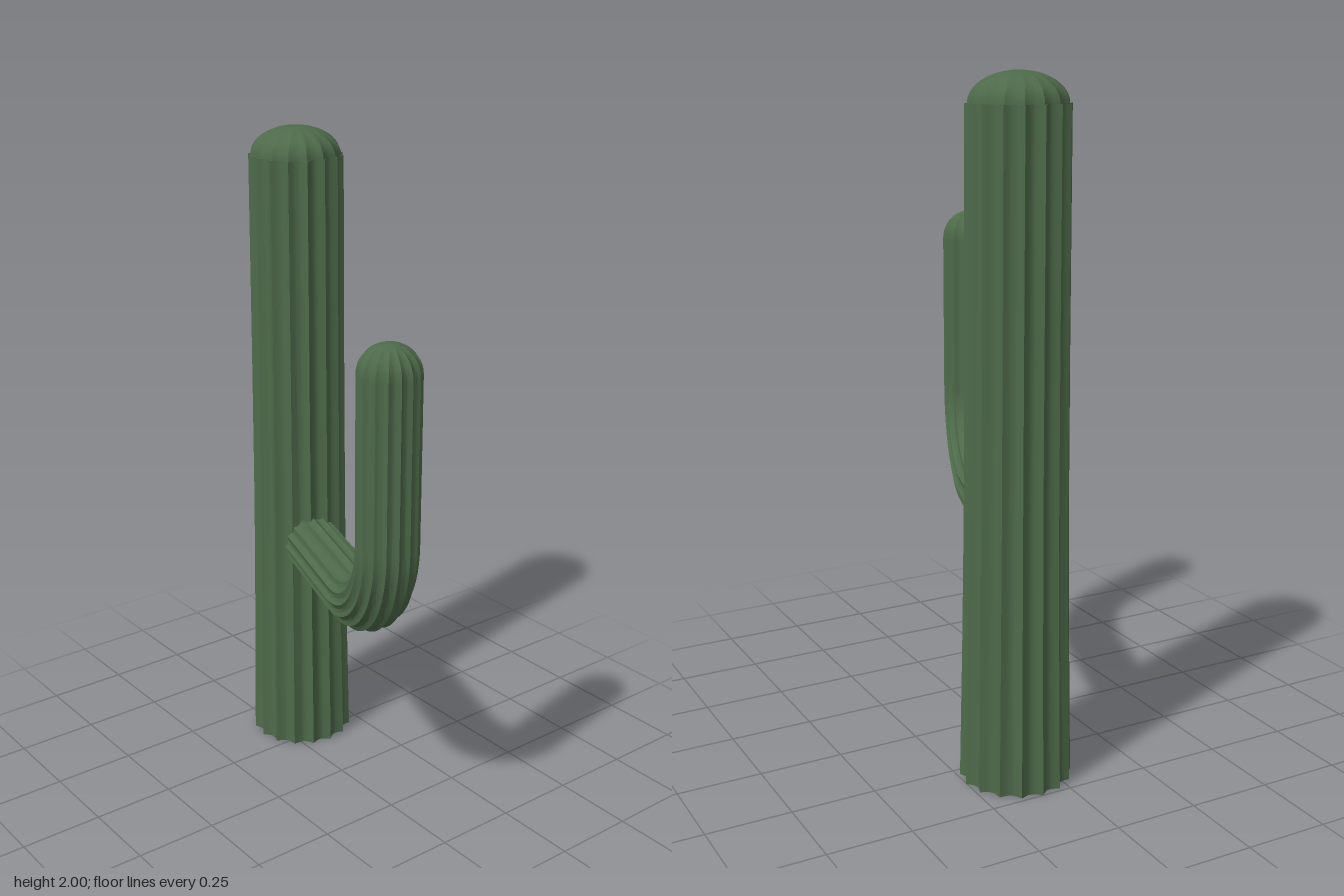
import * as THREE from 'three';
import { toCreasedNormals } from 'three/addons/utils/BufferGeometryUtils.js';

const RIBS = 16, STEPS = 6, N = RIBS * STEPS;
const V = (x, y, z) => new THREE.Vector3(x, y, z);

// Skin of scalloped rings; each ring is { c: centre, u, v: ring axes, r: ridge radius, d: groove depth ratio }
function ribbedSkin(rings) {
  const pos = [], idx = [];
  for (const { c, u, v, r, d } of rings) {
    for (let i = 0; i < N; i++) {
      const a = (i / N) * Math.PI * 2;
      const rr = r * (1 - d * Math.abs(Math.sin((a * RIBS) / 2)));
      const p = c.clone().addScaledVector(u, rr * Math.cos(a)).addScaledVector(v, rr * Math.sin(a));
      pos.push(p.x, p.y, p.z);
    }
  }
  for (let j = 0; j < rings.length - 1; j++) {
    for (let i = 0; i < N; i++) {
      const k = (i + 1) % N, a = j * N + i, b = j * N + k, c = a + N, e = b + N;
      idx.push(a, b, c, b, e, c);
    }
  }
  const g = new THREE.BufferGeometry();
  g.setAttribute('position', new THREE.Float32BufferAttribute(pos, 3));
  g.setIndex(idx);
  return toCreasedNormals(g, 0.7);
}

// Level ring; u x v points up
const level = (x, y, z, r, d, u = V(1, 0, 0)) => ({ c: V(x, y, z), u, v: V(0, 1, 0).cross(u).normalize(), r, d });

// Rounded cap whose ribs fade towards the tip
function domeRings(x, y, z, r, h, d, u) {
  const rings = [];
  for (let i = 0; i <= 10; i++) {
    const t = (i / 10) * Math.PI / 2;
    rings.push(level(x, y + h * Math.sin(t), z, Math.max(r * Math.cos(t), 0.0005), d, u));
  }
  return rings;
}

export function createModel() {
  const model = new THREE.Group();
  model.name = 'cactus';
  const green = new THREE.MeshStandardMaterial({ color: 0x4e6a4a, side: THREE.DoubleSide });
  green.name = 'cactus green';
  const add = (name, rings) => {
    const m = new THREE.Mesh(ribbedSkin(rings), green);
    m.name = name;
    model.add(m);
  };

  // Trunk: flared, open at the foot
  const tx = -0.338, tz = -0.09;
  add('trunk', [[0, 0.162], [0.4, 0.154], [0.8, 0.148], [1.3, 0.145], [1.915, 0.143]]
    .map(([y, r]) => level(tx, y, tz, r, 0.11)));
  add('trunkCap', [level(tx, 1.915, tz, 0.143, 0.11), ...domeRings(tx, 1.915, tz, 0.136, 0.085, 0.06)]);

  // Arm: straight out, quarter bend, straight up
  const dir = V(0.948, 0, 0.318).normalize(), up = V(0, 1, 0);
  const tip = V(0.408, 0, 0.16), armY = 0.713, bend = 0.27, armR = 0.089, d = 0.1;
  const reach = 0.66;
  const side = up.clone().cross(dir);
  const rings = [];
  const ring = (out, y, a) => {
    // u leans from straight down to outward as the arm turns upwards
    const u = dir.clone().multiplyScalar(Math.sin(a)).addScaledVector(up, -Math.cos(a));
    const c = tip.clone().addScaledVector(dir, -out);
    c.y = y;
    rings.push({ c, u, v: side.clone().negate().multiplyScalar(-1), r: armR, d });
  };
  ring(reach, armY, 0);
  for (let i = 0; i <= 16; i++) {
    const a = (i / 16) * Math.PI / 2;
    ring(bend * (1 - Math.sin(a)), armY + bend * (1 - Math.cos(a)), a);
  }
  ring(0, 1.465, Math.PI / 2);
  // Match ring winding to the direction of travel
  for (const s of rings) {
    const travel = V(0, 0, 0).addScaledVector(dir, -s.u.y).addScaledVector(up, s.u.dot(dir));
    s.v = travel.cross(s.u);
  }
  add('arm', rings);
  add('armCap', domeRings(tip.x, 1.465, tip.z, armR, 0.085, d, dir));
  return model;
}
